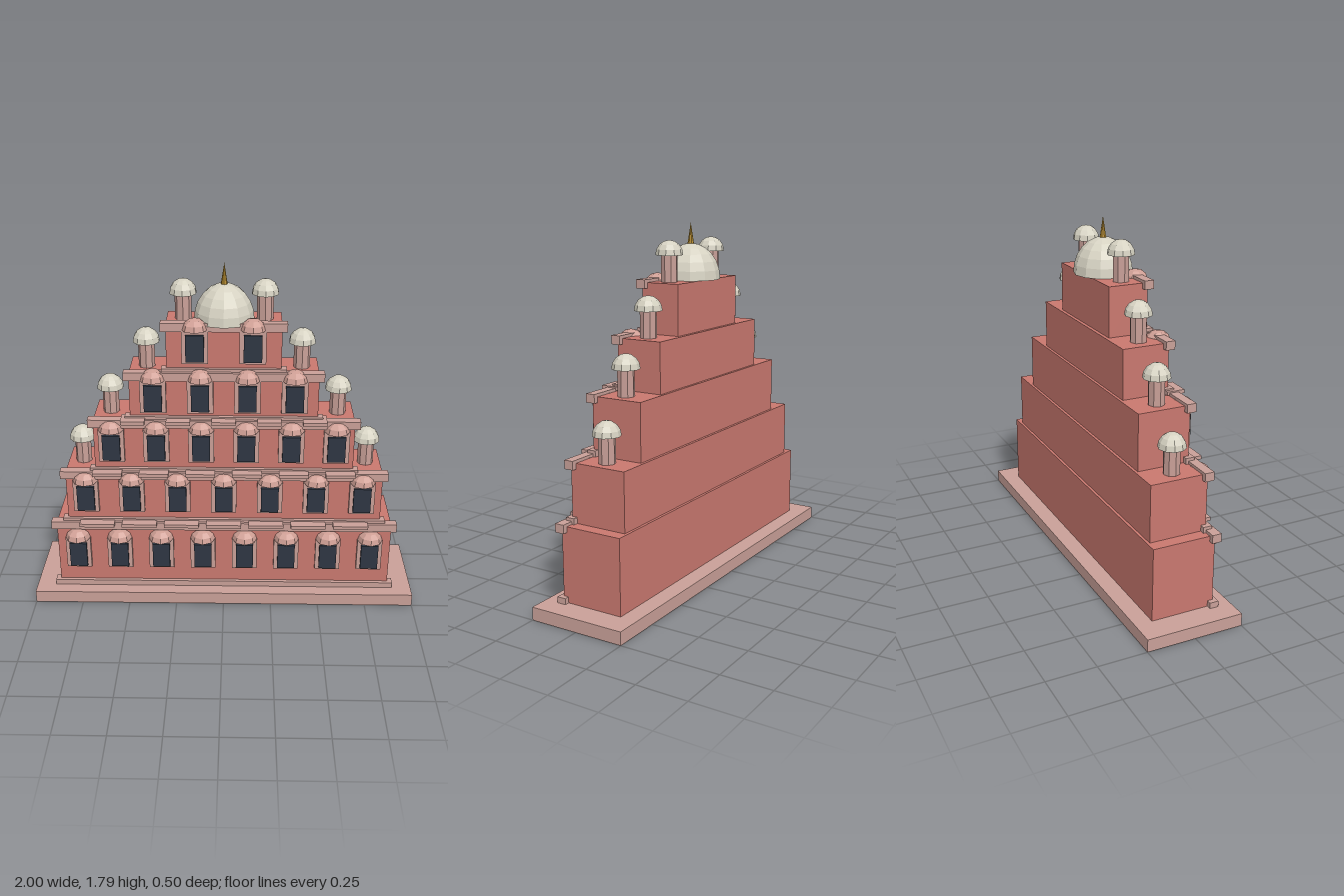
import * as THREE from 'three';

const mat = (name, color, flatShading = true) => {
  const m = new THREE.MeshStandardMaterial({ color, flatShading });
  m.name = name;
  return m;
};

// Closed half-dome standing on y = 0
function domeGeometry(r, h, sides, rings) {
  const pts = [new THREE.Vector2(0, 0)];
  for (let i = 0; i <= rings; i++) {
    const a = (i / rings) * Math.PI / 2;
    pts.push(new THREE.Vector2(i === rings ? 0 : r * Math.cos(a), h * Math.sin(a)));
  }
  return new THREE.LatheGeometry(pts, sides);
}

export function createModel() {
  const wall = mat('red sandstone', 0xc9786f);
  const trim = mat('pale pink stone', 0xc9a098);
  const hoodStone = mat('hood pink', 0xcf9f95);
  const cream = mat('cream dome', 0xd6d2c2);
  const glass = mat('dark window', 0x2e3643);
  const gold = mat('gold', 0xb48a2c);

  const root = new THREE.Group();
  root.name = 'palaceFacade';

  const add = (parent, name, geo, material, x = 0, y = 0, z = 0) => {
    const m = new THREE.Mesh(geo, material);
    m.name = name;
    m.position.set(x, y, z);
    parent.add(m);
    return m;
  };
  // Box given by its bottom and top heights and its back and front
  const slab = (parent, name, material, w, y0, y1, z0, z1, x = 0) =>
    add(parent, name, new THREE.BoxGeometry(w, y1 - y0, z1 - z0), material,
      x, (y0 + y1) / 2, (z0 + z1) / 2);

  slab(root, 'plinth', trim, 2, 0, 0.065, -0.25, 0.25);

  // Shared small parts
  const hoodGeo = domeGeometry(0.065, 0.055, 8, 3);
  const smallDome = domeGeometry(0.068, 0.072, 10, 4);
  const postGeo = new THREE.CylinderGeometry(0.041, 0.041, 0.14, 8);

  // One projecting window: frame, dark pane and domed hood; b is the sill height
  const addWindow = (parent, x, b, d) => {
    const g = new THREE.Group();
    g.name = 'window';
    slab(g, 'windowFrame', trim, 0.13, b - 0.012, b + 0.164, d - 0.01, d + 0.02, x);
    slab(g, 'windowPane', glass, 0.09, b, b + 0.138, d + 0.015, d + 0.033, x);
    add(g, 'windowHood', hoodGeo, hoodStone, x, b + 0.162, d + 0.006);
    parent.add(g);
  };

  // Domed turret on a faceted post
  const addTurret = (x, y) => {
    const g = new THREE.Group();
    g.name = 'turret';
    add(g, 'turretPost', postGeo, trim, x, y + 0.07, 0);
    add(g, 'turretDome', smallDome, cream, x, y + 0.13, 0);
    root.add(g);
  };

  // Stepped storeys: half width, bottom, top, half depth, windows, spacing, sill, turret x
  const tiers = [
    { w: 0.875, y0: 0.065, y1: 0.44, d: 0.162, n: 8, s: 0.219, b: 0.193 },
    { w: 0.813, y0: 0.44, y1: 0.73, d: 0.148, n: 7, s: 0.237, b: 0.525, turret: 0.735 },
    { w: 0.658, y0: 0.73, y1: 1.015, d: 0.134, n: 6, s: 0.227, b: 0.81, turret: 0.577 },
    { w: 0.47, y0: 1.015, y1: 1.265, d: 0.12, n: 4, s: 0.234, b: 1.078, turret: 0.387 },
    { w: 0.283, y0: 1.265, y1: 1.515, d: 0.102, n: 2, s: 0.283, b: 1.335, turret: 0.2 },
  ];
  tiers.forEach((t, i) => {
    const g = new THREE.Group();
    g.name = 'storey' + (i + 1);
    root.add(g);
    slab(g, 'wall', wall, t.w * 2, t.y0, t.y1, -t.d, t.d);
    const band = t.w * 2 + 0.05;
    slab(g, 'baseMoulding', trim, band, t.y0, t.y0 + 0.03, t.d - 0.027, t.d + 0.019);
    slab(g, 'cornice', trim, band, t.y1 - 0.028, t.y1 + 0.015, t.d - 0.028, t.d + 0.02);
    for (let k = 0; k < t.n; k++) addWindow(g, (k - (t.n - 1) / 2) * t.s, t.b, t.d);
    // Flat ledges between the bays, on top of the cornice
    if (i < 3) {
      for (let k = 0; k < t.n - 1; k++) {
        slab(g, 'ledge', trim, 0.18 - i * 0.03, t.y1 + 0.004, t.y1 + 0.022,
          t.d - 0.04, t.d + 0.052, (k - (t.n - 2) / 2) * t.s);
      }
    }
    if (t.turret) for (const side of [-1, 1]) addTurret(side * t.turret, t.y1);
  });

  // Crowning dome and spire
  add(root, 'mainDome', domeGeometry(0.148, 0.178, 12, 6), cream, 0, 1.515, 0);
  add(root, 'spire', new THREE.ConeGeometry(0.019, 0.12, 8), gold, 0, 1.735, 0);

  return root;
}
